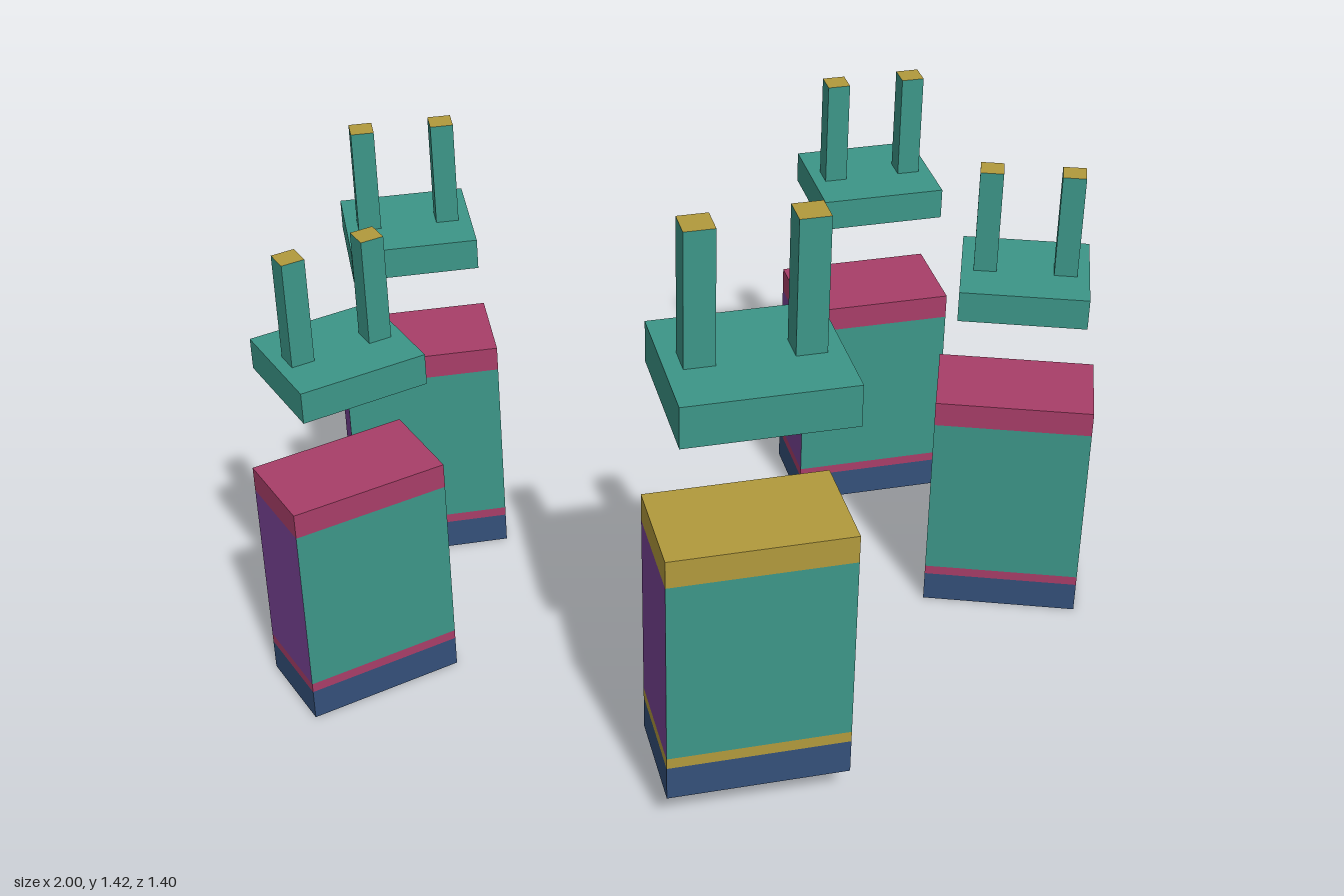
import * as THREE from 'three';
import { mergeGeometries } from 'three/addons/utils/BufferGeometryUtils.js';

const paint = (color) => new THREE.MeshStandardMaterial({ color, side: THREE.DoubleSide });
const teal = paint(0x3c9688), purple = paint(0x7a4496), navy = paint(0x34507a);
const pink = paint(0xa83e68), gold = paint(0xb29a3c);

function add(group, name, geometry, material) {
  const mesh = new THREE.Mesh(geometry, material);
  mesh.name = name;
  group.add(mesh);
}

// Two opposite upright panels: front and back, or the two sides
function panels(w, d, y0, y1, sides) {
  const pair = [0, Math.PI].map((turn) =>
    new THREE.PlaneGeometry(sides ? d : w, y1 - y0)
      .translate(0, 0, (sides ? w : d) / 2)
      .rotateY(turn + (sides ? Math.PI / 2 : 0))
      .translate(0, (y0 + y1) / 2, 0));
  return mergeGeometries(pair);
}

// Four thin walls, open above and below
const sleeve = (w, d, y0, y1) =>
  mergeGeometries([panels(w, d, y0, y1, false), panels(w, d, y0, y1, true)]);

const lid = (w, d, y) => new THREE.PlaneGeometry(w, d).rotateX(-Math.PI / 2).translate(0, y, 0);

// Box body, open at the bottom; levels run from the foot to the top
function makeBody({ w, d, levels: [y0, y1, y2, y3, y4], trim }) {
  const body = new THREE.Group();
  body.name = 'body';
  add(body, 'baseBand', sleeve(w, d, y0, y1), navy);
  add(body, 'lowerTrim', sleeve(w, d, y1, y2), trim);
  add(body, 'frontAndBackPanels', panels(w, d, y2, y3, false), teal);
  add(body, 'sidePanels', panels(w, d, y2, y3, true), purple);
  add(body, 'topBand', mergeGeometries([sleeve(w, d, y3, y4), lid(w, d, y4)]), trim);
  return body;
}

// Floating cap, hollow below, with two hollow square posts
function makeCap({ w, d, levels: [y0, y1, y2], post, offset }) {
  const cap = new THREE.Group();
  cap.name = 'cap';
  add(cap, 'capRim', sleeve(w, d, y0, y1), teal);

  const rect = (Kind, cx, rw, rd) => new Kind([
    [-1, -1], [1, -1], [1, 1], [-1, 1],
  ].map(([x, y]) => new THREE.Vector2(cx + x * rw / 2, y * rd / 2)));
  const plate = rect(THREE.Shape, 0, w, d);
  for (const s of [-1, 1]) plate.holes.push(rect(THREE.Path, s * offset, post, post));
  add(cap, 'capPlate', new THREE.ShapeGeometry(plate).rotateX(-Math.PI / 2).translate(0, y1, 0), teal);

  for (const s of [-1, 1]) {
    const side = s > 0 ? 'left' : 'right';
    add(cap, side + 'Post', sleeve(post, post, y1, y2).translate(s * offset, 0, 0), teal);
    add(cap, side + 'PostTip', lid(post, post, y2).translate(s * offset, 0, 0), gold);
  }
  return cap;
}

const large = {
  body: { w: 0.413, d: 0.245, levels: [0.075, 0.16, 0.187, 0.648, 0.715], trim: gold },
  cap: { w: 0.37, d: 0.33, levels: [1.018, 1.115, 1.425], post: 0.066, offset: 0.115 },
};
const small = {
  body: { w: 0.368, d: 0.22, levels: [0, 0.075, 0.098, 0.512, 0.573], trim: pink },
  cap: { w: 0.294, d: 0.264, levels: [0.815, 0.89, 1.142], post: 0.053, offset: 0.092 },
};

export function createModel() {
  const model = new THREE.Group();
  model.name = 'model';
  const place = (name, size, x, z, turn) => {
    const unit = new THREE.Group();
    unit.name = name;
    unit.add(makeBody(size.body), makeCap(size.cap));
    unit.position.set(x, 0, z);
    unit.rotation.y = turn;
    model.add(unit);
  };

  place('centreUnit', large, 0, 0.535, 0);
  // Mirrored pairs; the middle pair is turned inwards
  for (const s of [-1, 1]) {
    const side = s > 0 ? 'left' : 'right';
    place(side + 'MiddleUnit', small, s * 0.79, -0.034, -s * 0.349);
    place(side + 'BackUnit', small, s * 0.571, -0.57, 0);
  }
  return model;
}
